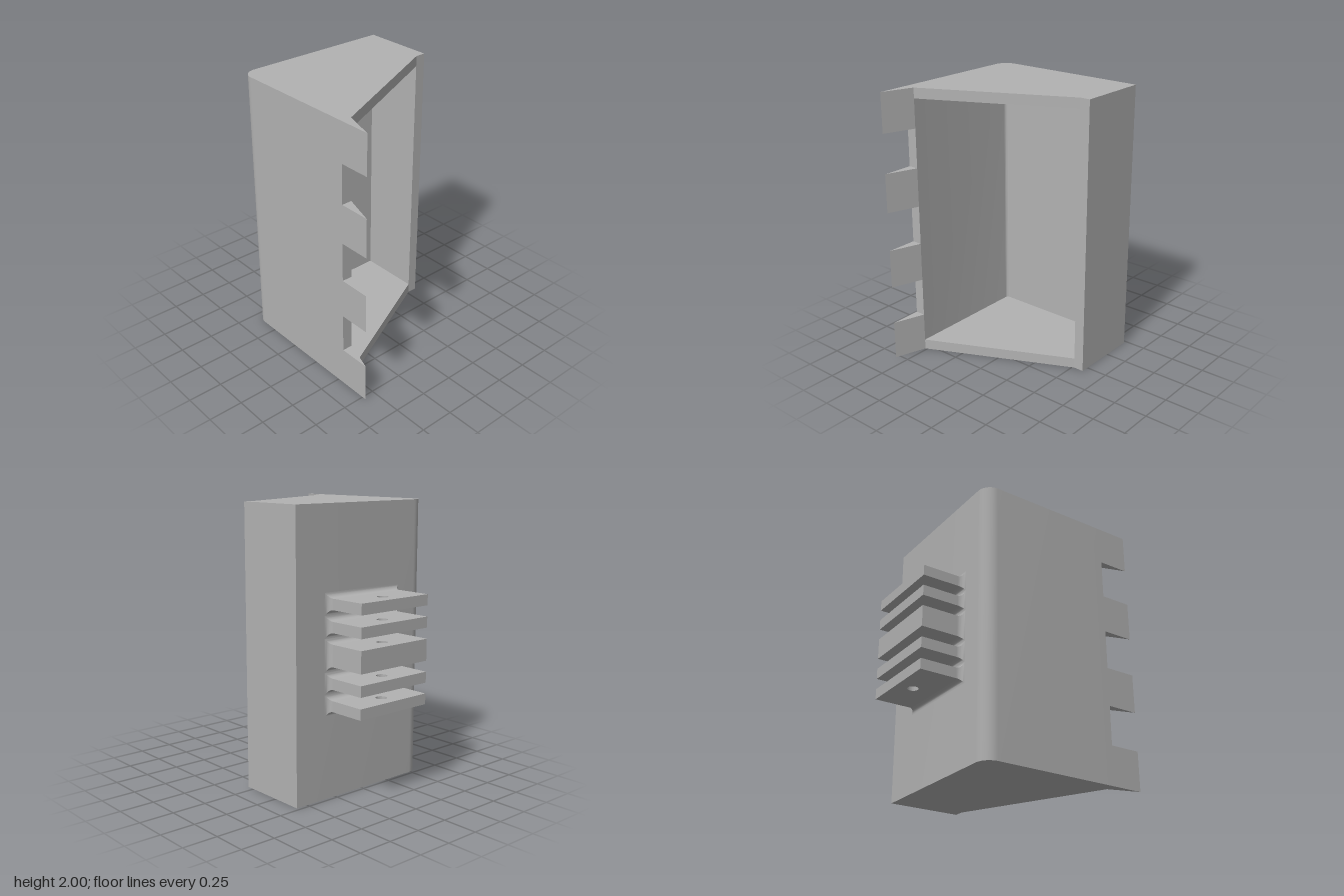
import * as THREE from 'three';
import { mergeGeometries, toCreasedNormals } from 'three/addons/utils/BufferGeometryUtils.js';

const H = 2, T = 0.075;                 // height and wall thickness
const L = -0.475, LIP = 0.55, TIP = 0.78; // outer left wall, lip edge, tooth tip
const Z = 0.59, ZI = Z - T, BACK = 0.058; // half depth, inner half depth, back wall edge

// Quarter arc in plan, given as [x, z] points
function arc(cx, cz, r, a0, a1, n = 12) {
  return Array.from({ length: n + 1 }, (_, i) => {
    const a = a0 + (a1 - a0) * i / n;
    return [cx + r * Math.cos(a), cz + r * Math.sin(a)];
  });
}

function surface(positions) {
  const g = new THREE.BufferGeometry();
  g.setAttribute('position', new THREE.Float32BufferAttribute(positions, 3));
  return toCreasedNormals(g, 0.5);
}

// Two triangles from four corners
const quad = (a, b, c, d) => [a, b, c, a, c, d].flat();

// Upright wall following a plan path
function wall(path, y0, y1) {
  const pos = [];
  for (let i = 0; i < path.length - 1; i++) {
    const [x0, z0] = path[i], [x1, z1] = path[i + 1];
    pos.push(...quad([x0, y0, z0], [x1, y0, z1], [x1, y1, z1], [x0, y1, z0]));
  }
  return surface(pos);
}

// Level sheet filling a plan outline
function sheet(path, y, up) {
  const s = up ? -1 : 1;
  const g = new THREE.ShapeGeometry(new THREE.Shape(path.map(([x, z]) => new THREE.Vector2(x, s * z))));
  g.rotateX(s * Math.PI / 2).translate(0, y, 0).deleteAttribute('uv');
  return g.toNonIndexed();
}

// Concave flare where a lug meets the wall
function flare(y0, y1, hz, r, n = 8) {
  const pos = [];
  const ring = (i) => {
    const a = (i / n) * Math.PI / 2;
    const x = L - r * (1 - Math.sin(a)), o = r * (1 - Math.cos(a));
    return [[x, y0 - o, -hz - o], [x, y0 - o, hz + o], [x, y1 + o, hz + o], [x, y1 + o, -hz - o]];
  };
  for (let i = 0; i < n; i++) {
    const a = ring(i), b = ring(i + 1);
    for (let k = 0; k < 4; k++) {
      const m = (k + 1) % 4;
      pos.push(...quad(a[k], a[m], b[m], b[k]));
    }
  }
  return surface(pos);
}

// Flat lug with a pin hole
function lug(y0, y1, hz, r) {
  const s = new THREE.Shape();
  s.moveTo(-0.783, -hz).lineTo(L - r, -hz).lineTo(L - r, hz).lineTo(-0.783, hz).closePath();
  const hole = new THREE.Path();
  hole.absarc(-0.663, 0, 0.039, 0, Math.PI * 2, true);
  s.holes.push(hole);
  const g = new THREE.ExtrudeGeometry(s, { depth: y1 - y0, bevelEnabled: false, curveSegments: 24 });
  g.rotateX(-Math.PI / 2).translate(0, y0, 0).deleteAttribute('uv');
  return toCreasedNormals(g, 0.5);
}

export function createModel() {
  const group = new THREE.Group();
  const steel = new THREE.MeshStandardMaterial({ color: 0xb2b2b2, side: THREE.DoubleSide });
  steel.name = 'grey steel';
  const add = (name, parts) => {
    const mesh = new THREE.Mesh(mergeGeometries(parts), steel);
    mesh.name = name;
    group.add(mesh);
  };

  // Outer walls with the rounded front corner, closed above and below
  const outer = [[BACK, -ZI], [BACK, -Z], [L, -Z],
    ...arc(L + 0.1, Z - 0.1, 0.1, Math.PI, Math.PI / 2), [LIP, Z]];
  const outline = [...outer, [LIP, ZI]];
  add('outerShell', [wall(outer, 0, H), sheet(outline, H, true), sheet(outline, 0, false)]);

  // Hollow inside
  const inner = [[LIP, ZI], ...arc(L + 0.1, ZI - 0.025, 0.025, Math.PI / 2, Math.PI),
    [L + T, -ZI], [BACK, -ZI]];
  add('cavity', [wall(inner, T, H - T), sheet(inner, T, true), sheet(inner, H - T, false)]);

  // Slanted rims of the floor and roof
  const slant = [[LIP, ZI], [BACK, -ZI]];
  add('openingRim', [wall(slant, 0, T), wall(slant, H - T, H)]);

  // Wedge teeth along the lip, with square gaps between
  const teeth = [], gaps = [];
  const step = H / 7;
  for (let i = 0; i < 7; i++) {
    const y0 = i * step, y1 = y0 + step;
    if (i % 2) gaps.push(wall([[LIP, Z], [LIP, ZI]], y0, y1));
    else {
      const tooth = [[LIP, Z], [TIP, Z], [LIP, ZI]];
      teeth.push(wall(tooth, y0, y1), sheet(tooth, y1, true), sheet(tooth, y0, false));
    }
  }
  add('teeth', teeth);
  add('lipGaps', gaps);

  // Five mounting lugs, the middle one thicker
  const r = 0.038, hz = 0.308;
  [[0.618, 0.694], [0.771, 0.848], [0.925, 1.078], [1.155, 1.231], [1.308, 1.384]].forEach(([y0, y1], i) => {
    add('mountingLug' + (i + 1), [lug(y0, y1, hz, r), flare(y0, y1, hz, r)]);
  });
  return group;
}
